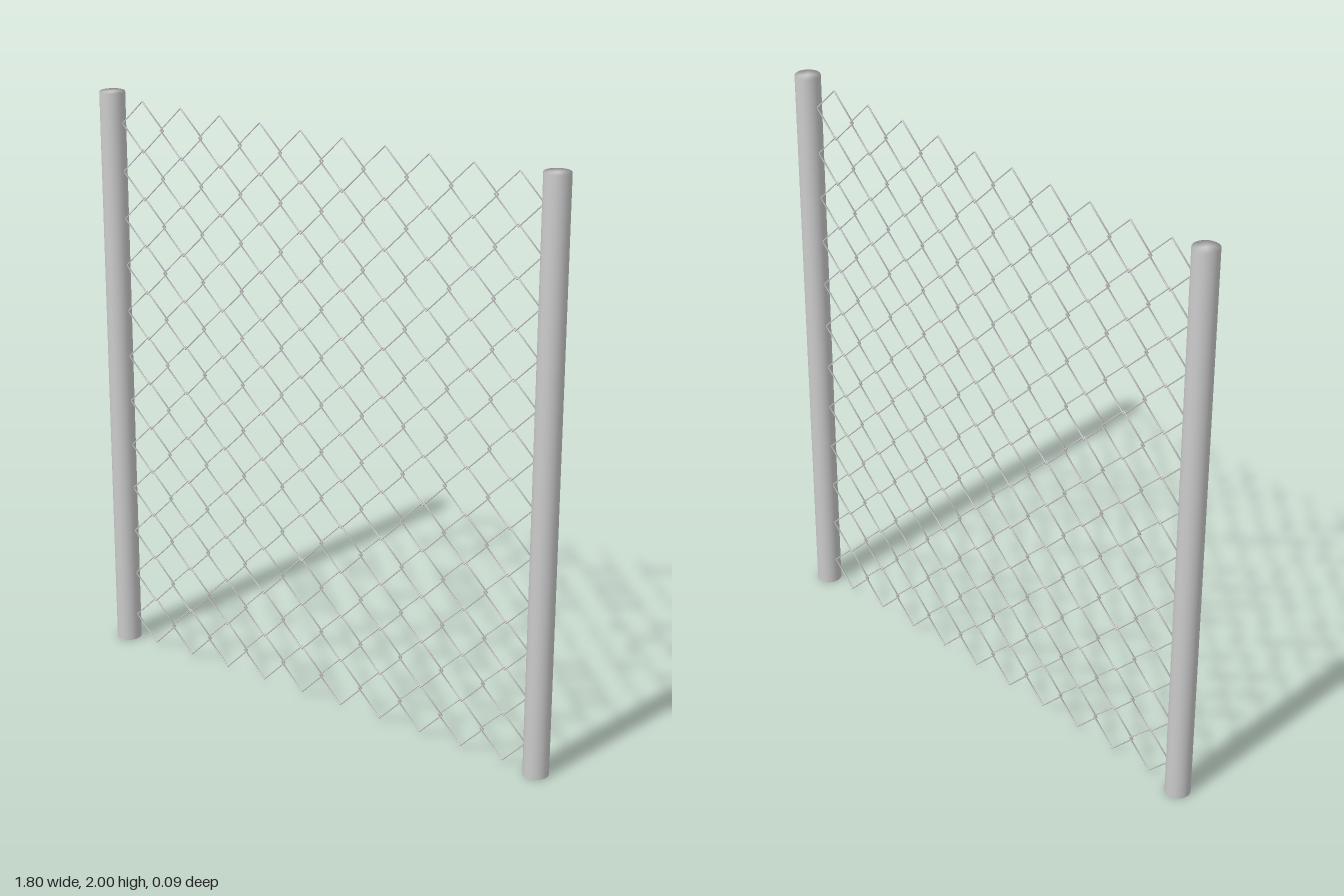
import * as THREE from 'three';

export function createModel() {
  const group = new THREE.Group();
  const material = new THREE.MeshStandardMaterial({ color: 0xcccccc });

  // Round posts, with normals blended over the rims
  const r = 0.043;
  const profile = [[0, 0], [r, 0], [r, 2], [0, 2]].map(([x, y]) => new THREE.Vector2(x, y));
  const postGeometry = new THREE.LatheGeometry(profile, 24);
  for (const side of [-1, 1]) {
    const post = new THREE.Mesh(postGeometry, material);
    post.name = side > 0 ? 'leftPost' : 'rightPost';
    post.position.x = side * 0.855;
    group.add(post);
  }

  // Wire mesh: a grid of four-sided links that overlap at their corners
  const columns = 10, rows = 12, stepX = 0.1615, stepY = 0.1638;
  const linkGeometry = new THREE.TorusGeometry(0.087, 0.003, 6, 4);
  const mesh = new THREE.Group();
  mesh.name = 'wireMesh';
  for (let i = 0; i < columns; i++) {
    for (let j = 0; j < rows; j++) {
      const link = new THREE.Mesh(linkGeometry, material);
      link.name = 'wireLink';
      link.position.set((i - (columns - 1) / 2) * stepX, 0.095 + j * stepY, 0);
      mesh.add(link);
    }
  }
  group.add(mesh);
  return group;
}
